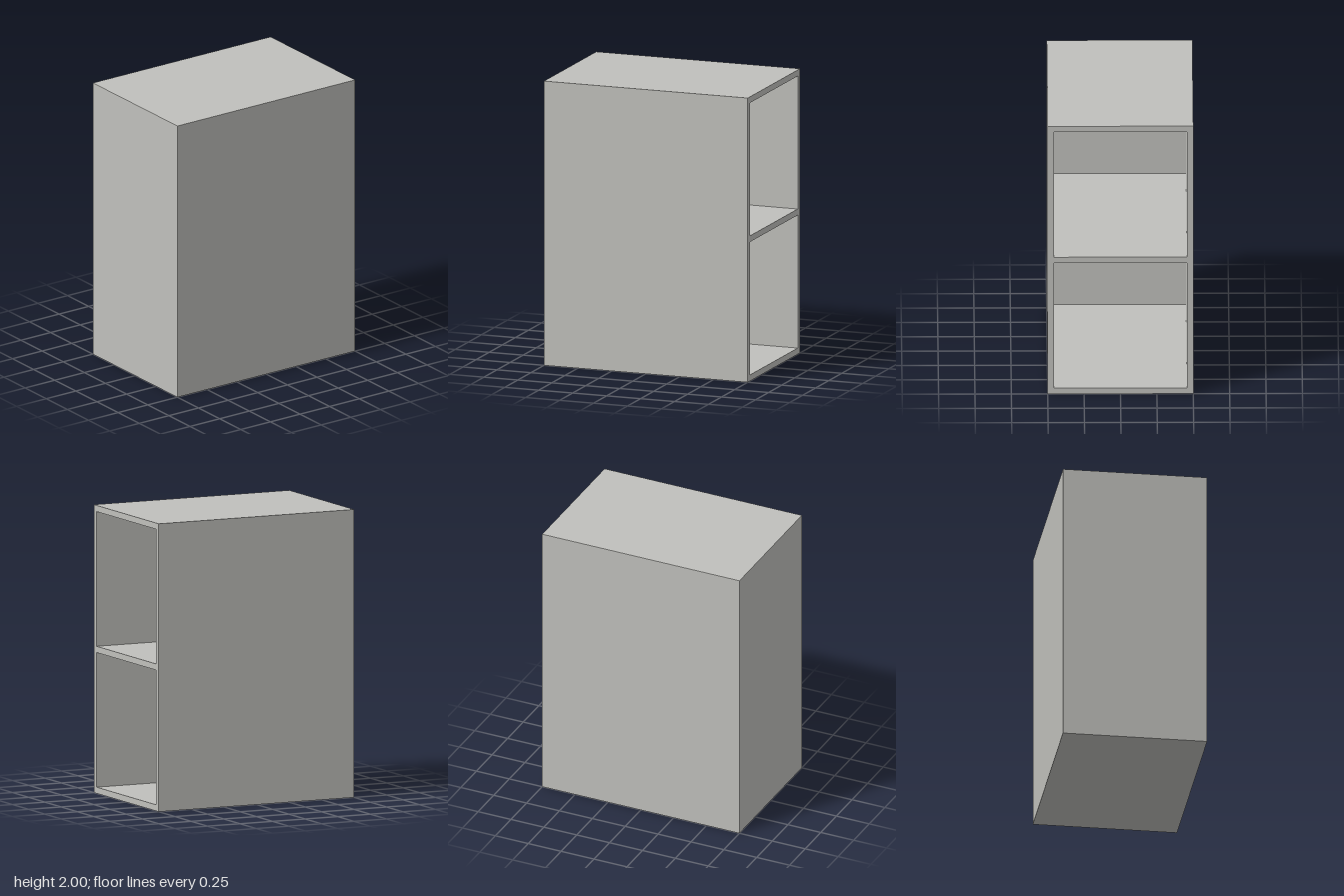
import * as THREE from 'three';

export function createModel() {
  const group = new THREE.Group();
  group.name = 'shelfCabinet';
  const grey = new THREE.MeshStandardMaterial({ color: 0xc0c0bc });
  grey.name = 'light grey';

  const W = 1, H = 2, D = 1.5, T = 0.043;

  // Carcass: outline with two stacked compartments, open at the back
  const rect = (path, x0, y0, x1, y1) =>
    path.moveTo(x0, y0).lineTo(x1, y0).lineTo(x1, y1).lineTo(x0, y1).closePath();
  const outline = rect(new THREE.Shape(), -W / 2, 0, W / 2, H);
  const openH = (H - 3 * T) / 2;
  for (let i = 0; i < 2; i++) {
    const y = T + i * (openH + T);
    outline.holes.push(rect(new THREE.Path(), -W / 2 + T, y, W / 2 - T, y + openH));
  }
  const carcass = new THREE.Mesh(
    new THREE.ExtrudeGeometry(outline, { depth: D - T, bevelEnabled: false }), grey);
  carcass.name = 'carcassWithShelf';
  carcass.position.z = -D / 2;
  group.add(carcass);

  // Closed front panel
  const front = new THREE.Mesh(new THREE.BoxGeometry(W, H, T), grey);
  front.name = 'frontPanel';
  front.position.set(0, H / 2, D / 2 - T / 2);
  group.add(front);

  return group;
}
